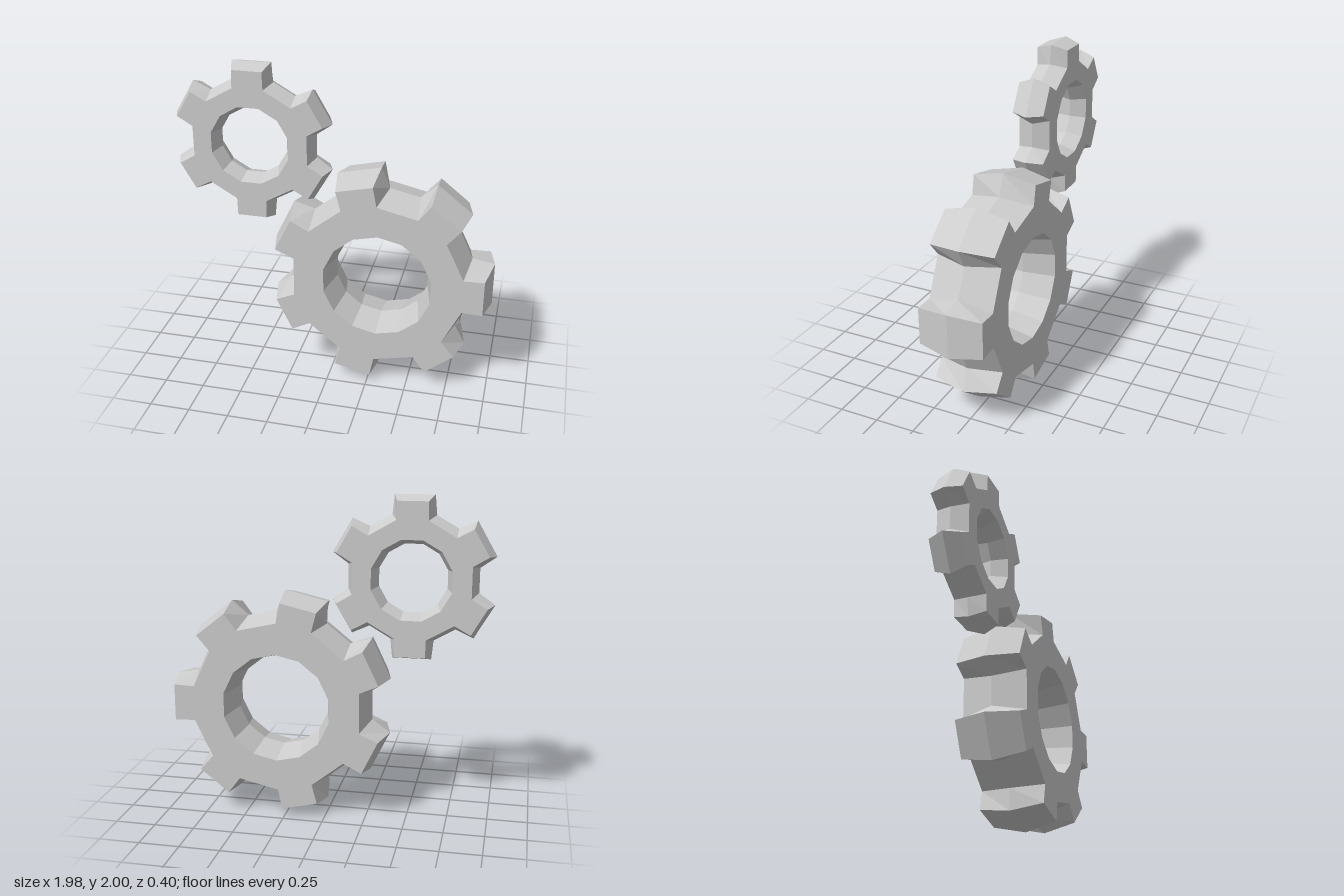
import * as THREE from 'three';
import { mergeGeometries } from 'three/addons/utils/BufferGeometryUtils.js';

const DEG = Math.PI / 180;
const polar = (r, a) => new THREE.Vector2(r * Math.cos(a), r * Math.sin(a));

// Tooth outline: four corners per tooth (root, tip, tip, root), counter-clockwise
function toothLoop(teeth, phase, { tip, root }) {
  const pitch = (2 * Math.PI) / teeth;
  const loop = [];
  for (let i = 0; i < teeth; i++) {
    const a = phase + i * pitch;
    const rootAngle = pitch / 2 - root[1] * DEG;
    const tipAngle = tip[1] * DEG;
    loop.push(
      polar(root[0], a - rootAngle), polar(tip[0], a - tipAngle),
      polar(tip[0], a + tipAngle), polar(root[0], a + rootAngle));
  }
  return loop;
}

// Bore outline: a polygon with two sides per tooth, clockwise
function boreLoop(teeth, radius) {
  const n = teeth * 2;
  return Array.from({ length: n }, (_, i) => polar(radius, -(i + 0.5) * (2 * Math.PI) / n));
}

// Wall of quads through the loops, from back to front
function wall(loops, depths) {
  const pos = [];
  for (let k = 0; k < loops.length - 1; k++) {
    const n = loops[k].length;
    for (let i = 0; i < n; i++) {
      const j = (i + 1) % n;
      const at = (row, col) => [loops[row][col].x, loops[row][col].y, depths[row]];
      const a = at(k, i), b = at(k, j), c = at(k + 1, j), d = at(k + 1, i);
      pos.push(...a, ...b, ...c, ...a, ...c, ...d);
    }
  }
  const geo = new THREE.BufferGeometry();
  geo.setAttribute('position', new THREE.Float32BufferAttribute(pos, 3));
  return geo;
}

// Gear whose rim and bore both swell towards the middle plane
function makeGear({ name, teeth, phase, half, face, middle, x, y }) {
  const outerFace = toothLoop(teeth, phase, face);
  const outerMid = toothLoop(teeth, phase, middle);
  const boreFace = boreLoop(teeth, face.bore);
  const boreMid = boreLoop(teeth, middle.bore);
  const depths = [-half, 0, half];

  // Flat face with its hole, then the same face turned over for the back
  const shape = new THREE.Shape(outerFace);
  shape.holes.push(new THREE.Path(boreFace));
  const front = new THREE.ShapeGeometry(shape).toNonIndexed();
  front.deleteAttribute('uv');
  front.deleteAttribute('normal');
  front.translate(0, 0, half);
  const back = front.clone().rotateX(Math.PI);

  const geo = mergeGeometries([
    front, back,
    wall([outerFace, outerMid, outerFace], depths),
    wall([boreFace, boreMid, boreFace], depths),
  ]);
  geo.computeVertexNormals();
  const mesh = new THREE.Mesh(geo, new THREE.MeshStandardMaterial({ color: 0xcccccc, flatShading: true }));
  mesh.name = name;
  mesh.position.set(x, y, 0);
  return mesh;
}

export function createModel() {
  const group = new THREE.Group();
  group.name = 'gears';
  // tip and root are [radius, half angle in degrees of the tip or of the valley]
  group.add(makeGear({
    name: 'largeGear', teeth: 7, phase: 0, half: 0.2, x: 0.3, y: 0.7,
    face: { tip: [0.66, 10], root: [0.535, 13.8], bore: 0.34 },
    middle: { tip: [0.704, 11.3], root: [0.577, 9.4], bore: 0.295 },
  }));
  group.add(makeGear({
    name: 'smallGear', teeth: 6, phase: Math.PI / 6, half: 0.1, x: -0.505, y: 1.505,
    face: { tip: [0.473, 11.2], root: [0.366, 15.1], bore: 0.248 },
    middle: { tip: [0.508, 13.6], root: [0.398, 10.8], bore: 0.212 },
  }));
  return group;
}
